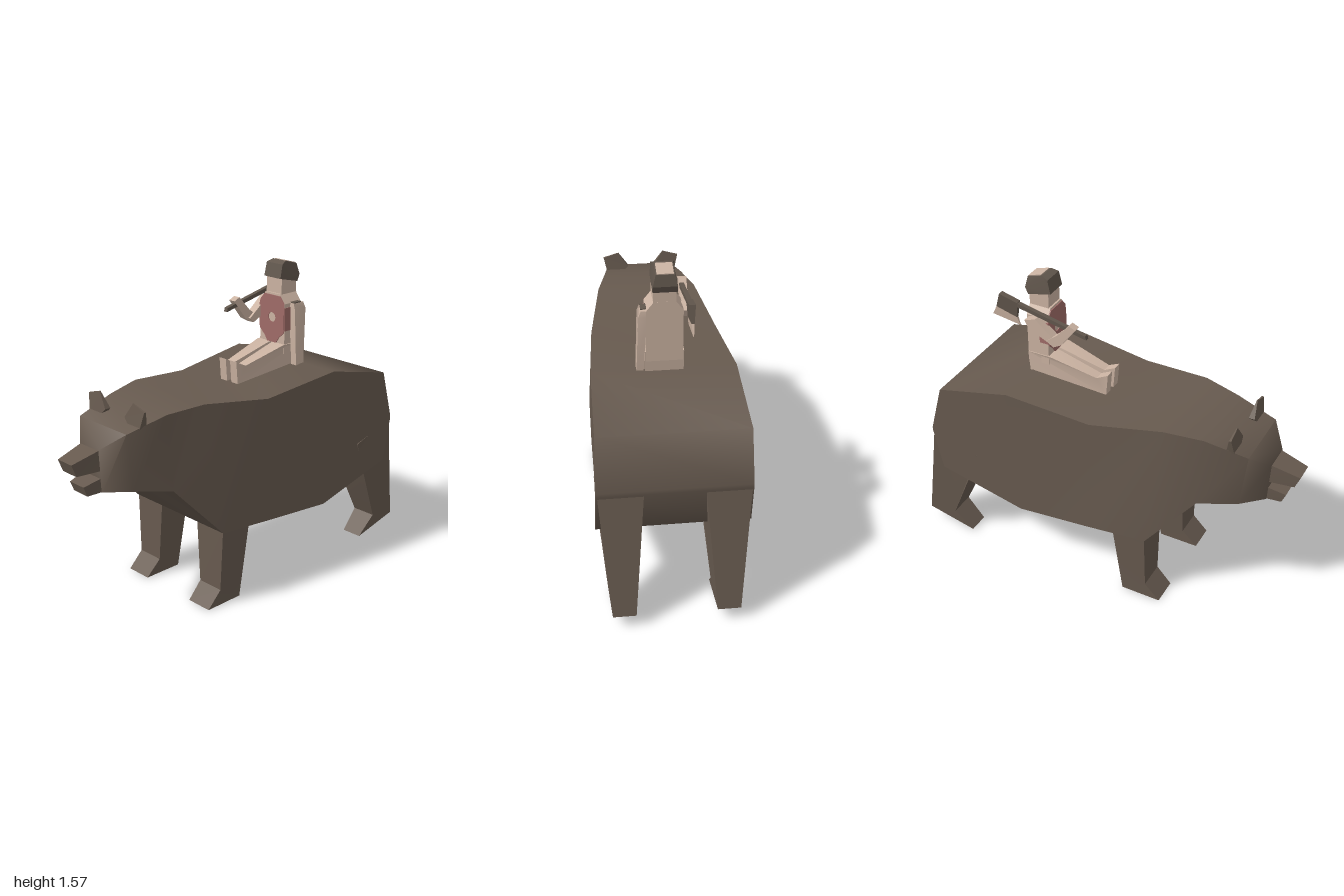
import * as THREE from 'three';
import { toCreasedNormals } from 'three/addons/utils/BufferGeometryUtils.js';

const material = (name, color) => {
  const m = new THREE.MeshStandardMaterial({ color });
  m.name = name;
  return m;
};

function fromTriangles(tris, crease) {
  const g = new THREE.BufferGeometry();
  g.setAttribute('position', new THREE.Float32BufferAttribute(tris.flat(2), 3));
  return toCreasedNormals(g, crease);
}

// Solid from a side outline: points [z, y, x0, x1], with x0 < x1 at every point.
function prism(points) {
  let pts = points;
  if (THREE.ShapeUtils.isClockWise(pts.map(p => new THREE.Vector2(p[0], p[1])))) pts = [...pts].reverse();
  const lo = pts.map(([z, y, a]) => [a, y, z]);
  const hi = pts.map(([z, y, , b]) => [b, y, z]);
  const tris = [];
  for (const [a, b, c] of THREE.ShapeUtils.triangulateShape(pts.map(p => new THREE.Vector2(p[0], p[1])), [])) {
    tris.push([lo[a], lo[b], lo[c]], [hi[a], hi[c], hi[b]]);
  }
  pts.forEach((_, i) => {
    const j = (i + 1) % pts.length;
    tris.push([lo[i], hi[i], hi[j]], [lo[i], hi[j], lo[j]]);
  });
  return fromTriangles(tris, 0.4);
}

const mirror = pts => pts.map(([z, y, a, b]) => [z, y, -b, -a]);
const slab = (pts, x0, x1) => prism(pts.map(([z, y]) => [z, y, x0, x1]));

// Loft through four-cornered sections: [topZ, topY, topW, bottomZ, bottomY, bottomW].
function loft(sections) {
  const rings = sections.map(([tz, ty, tw, bz, by, bw]) =>
    [[-tw, ty, tz], [tw, ty, tz], [bw, by, bz], [-bw, by, bz]]);
  const tris = [];
  for (let i = 0; i < rings.length - 1; i++) {
    for (let k = 0; k < 4; k++) {
      const n = (k + 1) % 4, r = rings[i], s = rings[i + 1];
      tris.push([r[k], s[k], s[n]], [r[k], s[n], r[n]]);
    }
  }
  const r = rings[0], s = rings[rings.length - 1];
  tris.push([r[0], r[1], r[2]], [r[0], r[2], r[3]], [s[0], s[2], s[1]], [s[0], s[3], s[2]]);
  return fromTriangles(tris, 1.1);
}

export function createModel() {
  const model = new THREE.Group();
  model.name = 'bearAndRider';
  const fur = material('furBrown', 0x675a4f);
  const skin = material('skin', 0xcbb3a2);
  const red = material('bodyPaintRed', 0xa06c68);
  const dark = material('hairAndWood', 0x62574d);

  const bear = new THREE.Group(), rider = new THREE.Group();
  bear.name = 'bear';
  rider.name = 'rider';
  model.add(bear, rider);
  const add = (parent, name, geometry, mat) => {
    const mesh = new THREE.Mesh(geometry, mat);
    mesh.name = name;
    parent.add(mesh);
    return mesh;
  };
  const addPair = (parent, name, pts, mat) => {
    add(parent, 'left' + name, prism(pts), mat);
    add(parent, 'right' + name, prism(mirror(pts)), mat);
  };

  // Bear body and head
  add(bear, 'bearBody', loft([
    [-0.88, 0.70, 0.355, -0.88, 0.68, 0.355],
    [-0.81, 0.955, 0.35, -0.83, 0.46, 0.36],
    [-0.42, 1.045, 0.34, -0.38, 0.33, 0.335],
    [0.02, 1.0, 0.31, 0.0, 0.365, 0.33],
    [0.38, 1.045, 0.25, 0.33, 0.395, 0.32],
    [0.57, 1.03, 0.205, 0.55, 0.65, 0.215],
    [0.78, 0.98, 0.17, 0.75, 0.695, 0.17],
    [0.86, 0.90, 0.07, 0.85, 0.69, 0.07],
  ]), fur);
  add(bear, 'snout', loft([
    [0.84, 0.90, 0.068, 0.84, 0.795, 0.068],
    [1.0, 0.86, 0.05, 0.975, 0.797, 0.05],
  ]), fur);
  add(bear, 'lowerJaw', loft([
    [0.84, 0.76, 0.066, 0.84, 0.69, 0.066],
    [0.94, 0.735, 0.05, 0.92, 0.685, 0.05],
  ]), fur);

  // Legs and ears
  addPair(bear, 'FrontLeg', [
    [0.41, 0, 0.16, 0.30], [0.20, 0, 0.16, 0.30], [0.145, 0.42, 0.13, 0.315],
    [0.325, 0.42, 0.13, 0.315], [0.33, 0.08, 0.155, 0.30],
  ], fur);
  addPair(bear, 'RearLeg', [
    [-0.73, 0.01, 0.19, 0.30], [-1.0, 0.07, 0.19, 0.30], [-0.875, 0.68, 0.14, 0.35],
    [-0.62, 0.6, 0.14, 0.35], [-0.69, 0.42, 0.15, 0.34], [-0.83, 0.11, 0.18, 0.31],
  ], fur);
  const ear = new THREE.Shape([[0.07, 1.02], [0.11, 0.98], [0.18, 0.98], [0.2, 1.07], [0.12, 1.095]]
    .map(p => new THREE.Vector2(...p)));
  for (const side of [1, -1]) {
    const shape = side > 0 ? ear : new THREE.Shape(ear.getPoints().map(p => new THREE.Vector2(-p.x, p.y)));
    const g = new THREE.ExtrudeGeometry(shape, { depth: 0.045, bevelEnabled: false });
    const pos = g.attributes.position;
    // Thin the ear towards its tip
    for (let i = 0; i < pos.count; i++) {
      const t = THREE.MathUtils.clamp((pos.getY(i) - 0.98) / 0.12, 0, 0.9);
      pos.setZ(i, 0.695 + (pos.getZ(i) - 0.025) * (1 - t));
    }
    g.computeVertexNormals();
    add(bear, side > 0 ? 'leftEar' : 'rightEar', g, fur);
  }

  // Rider legs, torso and neck
  addPair(rider, 'RiderLeg', [
    [-0.01, 1.12, 0.015, 0.06], [-0.07, 1.09, 0.015, 0.065], [-0.31, 1.15, 0.008, 0.09],
    [-0.44, 1.15, 0, 0.09], [-0.43, 1.03, 0, 0.09], [-0.02, 1.0, 0.015, 0.06],
  ], skin);
  const half = [[0.085, 1.1], [0.085, 1.36], [0.05, 1.405]];
  const torso = new THREE.Shape([...half, ...half.map(([x, y]) => [-x, y]).reverse()]
    .map(p => new THREE.Vector2(...p)));
  add(rider, 'torso', new THREE.ExtrudeGeometry(torso, { depth: 0.115, bevelEnabled: false }), skin)
    .position.z = -0.44;
  add(rider, 'head', new THREE.BoxGeometry(0.104, 0.12, 0.105), skin).position.set(0, 1.44, -0.387);

  // Red chest paint with a round bare spot
  const halfPaint = [[0.03, 1.15], [0.05, 1.18], [0.083, 1.21], [0.083, 1.36], [0.055, 1.395]];
  const paint = new THREE.Shape([...halfPaint, ...halfPaint.map(([x, y]) => [-x, y]).reverse()]
    .map(p => new THREE.Vector2(...p)));
  paint.holes.push(new THREE.Path().absarc(0, 1.28, 0.025, 0, Math.PI * 2, true));
  add(rider, 'chestPaint', new THREE.ExtrudeGeometry(paint, { depth: 0.005, bevelEnabled: false, curveSegments: 10 }), red)
    .position.z = -0.325;
  for (const side of [1, -1]) {
    add(rider, 'sidePaint', new THREE.BoxGeometry(0.004, 0.12, 0.05), red).position.set(side * 0.086, 1.28, -0.346);
  }

  // Hair with a bare crown
  add(rider, 'hair', prism([
    [-0.32, 1.485, -0.056, 0.056], [-0.335, 1.555, -0.054, 0.054], [-0.37, 1.568, -0.043, 0.043],
    [-0.45, 1.545, -0.043, 0.043], [-0.46, 1.49, -0.056, 0.056], [-0.445, 1.455, -0.056, 0.056],
  ]), dark);
  add(rider, 'bareCrown', slab([
    [-0.378, 1.564], [-0.378, 1.569], [-0.448, 1.549], [-0.448, 1.544],
  ], -0.038, 0.038), skin);

  // Left arm resting at the side
  add(rider, 'leftArm', prism([
    [-0.365, 1.36, 0.08, 0.108], [-0.435, 1.36, 0.08, 0.108], [-0.44, 1.33, 0.08, 0.12],
    [-0.425, 1.04, 0.095, 0.128], [-0.37, 1.04, 0.095, 0.128], [-0.362, 1.33, 0.08, 0.12],
  ]), skin);
  add(rider, 'shoulderBand', new THREE.BoxGeometry(0.03, 0.014, 0.05), dark).position.set(0.093, 1.358, -0.395);

  // Right arm bent forward to hold the axe
  add(rider, 'rightUpperArm', slab([
    [-0.37, 1.37], [-0.43, 1.35], [-0.41, 1.31], [-0.27, 1.245], [-0.245, 1.27], [-0.31, 1.32],
  ], -0.125, -0.08), skin);
  add(rider, 'rightForearm', slab([
    [-0.31, 1.27], [-0.27, 1.245], [-0.225, 1.27], [-0.145, 1.375], [-0.18, 1.39], [-0.25, 1.315],
  ], -0.13, -0.092), skin);

  // Axe
  add(rider, 'axeHandle', slab([
    [-0.095, 1.328], [-0.1, 1.348], [-0.5, 1.432], [-0.5, 1.41],
  ], -0.116, -0.094), dark);
  add(rider, 'axeHead', prism([
    [-0.47, 1.43, -0.12, -0.09], [-0.57, 1.455, -0.12, -0.09],
    [-0.595, 1.375, -0.112, -0.098], [-0.48, 1.345, -0.112, -0.098],
  ]), dark);
  add(rider, 'axeEdge', prism([
    [-0.48, 1.345, -0.112, -0.098], [-0.595, 1.375, -0.112, -0.098],
    [-0.62, 1.325, -0.107, -0.103], [-0.465, 1.303, -0.107, -0.103],
  ]), skin);

  return model;
}
